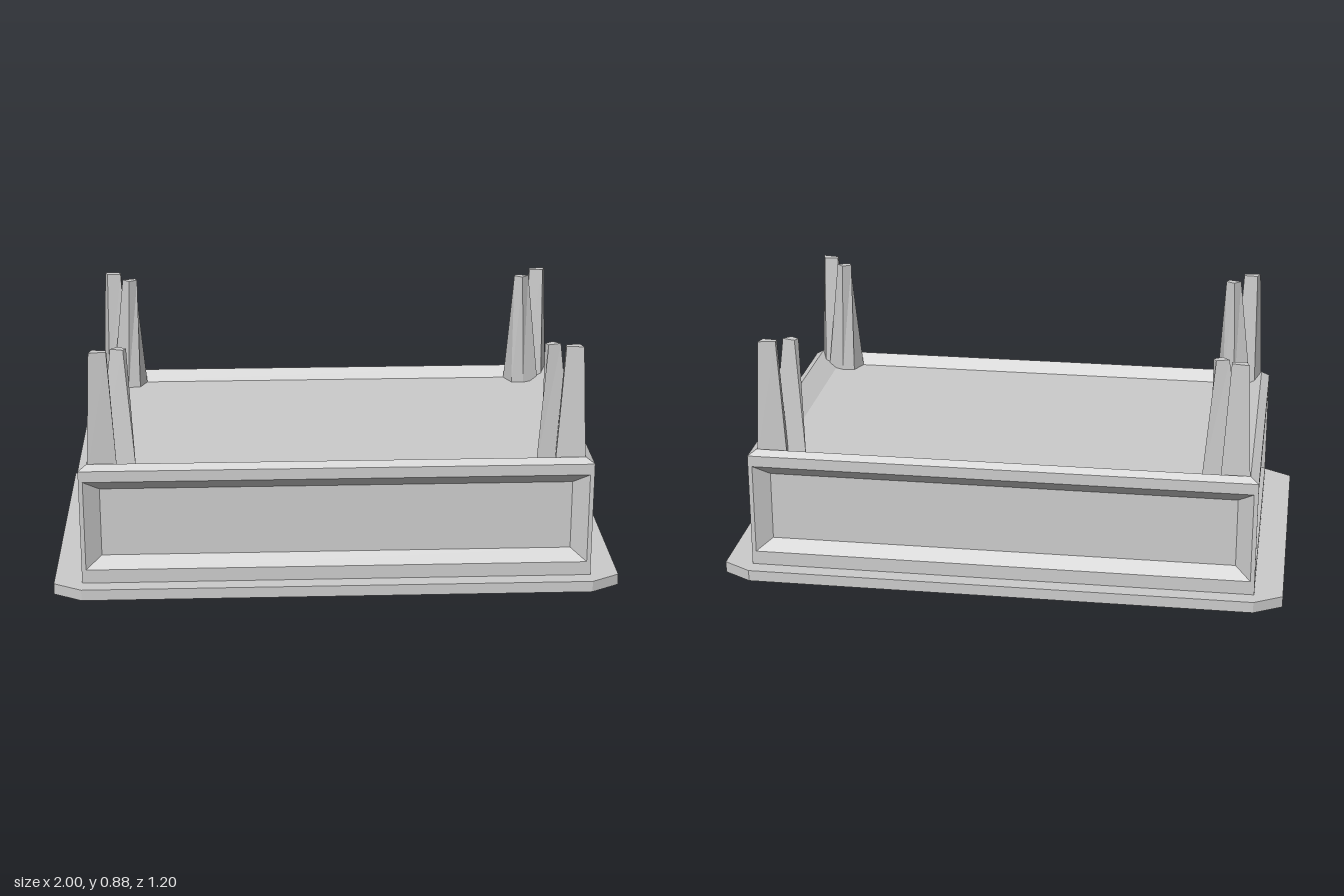
import * as THREE from 'three';

const material = new THREE.MeshStandardMaterial({ color: 0xcccccc, flatShading: true, side: THREE.DoubleSide });

// Skin a row of matching loops (counter-clockwise seen from the end cap) and cap the ends
function loft(name, loops, capStart = false) {
  const pos = [];
  const tri = (a, b, c) => pos.push(...a, ...b, ...c);
  const n = loops[0].length;
  for (let k = 0; k + 1 < loops.length; k++) {
    const a = loops[k], b = loops[k + 1];
    for (let i = 0; i < n; i++) {
      const j = (i + 1) % n;
      tri(a[i], a[j], b[j]);
      tri(a[i], b[j], b[i]);
    }
  }
  const first = loops[0], last = loops[loops.length - 1];
  for (let i = 1; i + 1 < n; i++) {
    tri(last[0], last[i], last[i + 1]);
    if (capStart) tri(first[0], first[i + 1], first[i]);
  }
  const geometry = new THREE.BufferGeometry();
  geometry.setAttribute('position', new THREE.Float32BufferAttribute(pos, 3));
  geometry.computeVertexNormals();
  const mesh = new THREE.Mesh(geometry, material);
  mesh.name = name;
  return mesh;
}

// Horizontal rectangle, and upright rectangle facing +z
const flatRect = (x, z, y) => [[x, y, z], [x, y, -z], [-x, y, -z], [-x, y, z]];
const uprightRect = (u, y0, y1, w) => [[-u, y0, w], [u, y0, w], [u, y1, w], [-u, y1, w]];

// Side of the box: flat frame, sloped border and sunken panel
function panel(name, half, w, lip, inner, depth, y, turn) {
  const mesh = loft(name, [
    uprightRect(half, 0.04, 0.46, w),
    uprightRect(lip, y[0], y[3], w),
    uprightRect(inner, y[1], y[2], w - depth),
  ]);
  mesh.rotation.y = turn;
  return mesh;
}

// Tapered prong standing in a corner
function prong(name, base, top, height, sx, sz) {
  const ring = (pts, y) => {
    const loop = pts.map(([x, z]) => [x * sx, y, z * sz]);
    return sx * sz > 0 ? loop.reverse() : loop;
  };
  return loft(name, [ring(base, 0.44), ring(top, height)], true);
}

export function createModel() {
  const model = new THREE.Group();

  // Base plate with clipped corners
  const plate = (y) => [[1, 0.54], [1, -0.54], [0.9, -0.6], [-0.9, -0.6],
    [-1, -0.54], [-1, 0.54], [-0.9, 0.6], [0.9, 0.6]].map(([x, z]) => [x, y, z]);
  model.add(loft('basePlate', [plate(0), plate(0.04)], true));

  // Panelled sides
  for (const [i, side] of ['front', 'back'].entries())
    model.add(panel(side + 'Panel', 0.9, 0.54, 0.885, 0.83, 0.04, [0.09, 0.13, 0.38, 0.42], i * Math.PI));
  for (const [i, side] of ['left', 'right'].entries())
    model.add(panel(side + 'Panel', 0.54, 0.9, 0.53, 0.5, 0.07, [0.07, 0.1, 0.4, 0.43], Math.PI * (i + 0.5)));

  // Bevelled rim dropping to a shallow tray
  model.add(loft('rimAndTray', [
    flatRect(0.9, 0.54, 0.46), flatRect(0.87, 0.52, 0.48), flatRect(0.8, 0.485, 0.44),
  ]));

  // Split leg in every corner
  for (const sx of [1, -1]) for (const sz of [1, -1]) {
    const leg = new THREE.Group();
    leg.name = (sz > 0 ? 'front' : 'back') + (sx > 0 ? 'Left' : 'Right') + 'Leg';
    leg.add(prong('outerProng',
      [[0.87, 0.52], [0.765, 0.5], [0.77, 0.46], [0.845, 0.455]],
      [[0.85, 0.51], [0.79, 0.5], [0.79, 0.48], [0.84, 0.475]], 0.88, sx, sz));
    leg.add(prong('innerProng',
      [[0.7, 0.485], [0.725, 0.425], [0.77, 0.42], [0.83, 0.45]],
      [[0.735, 0.45], [0.725, 0.43], [0.755, 0.41], [0.78, 0.435]], 0.87, sx, sz));
    model.add(leg);
  }
  return model;
}
